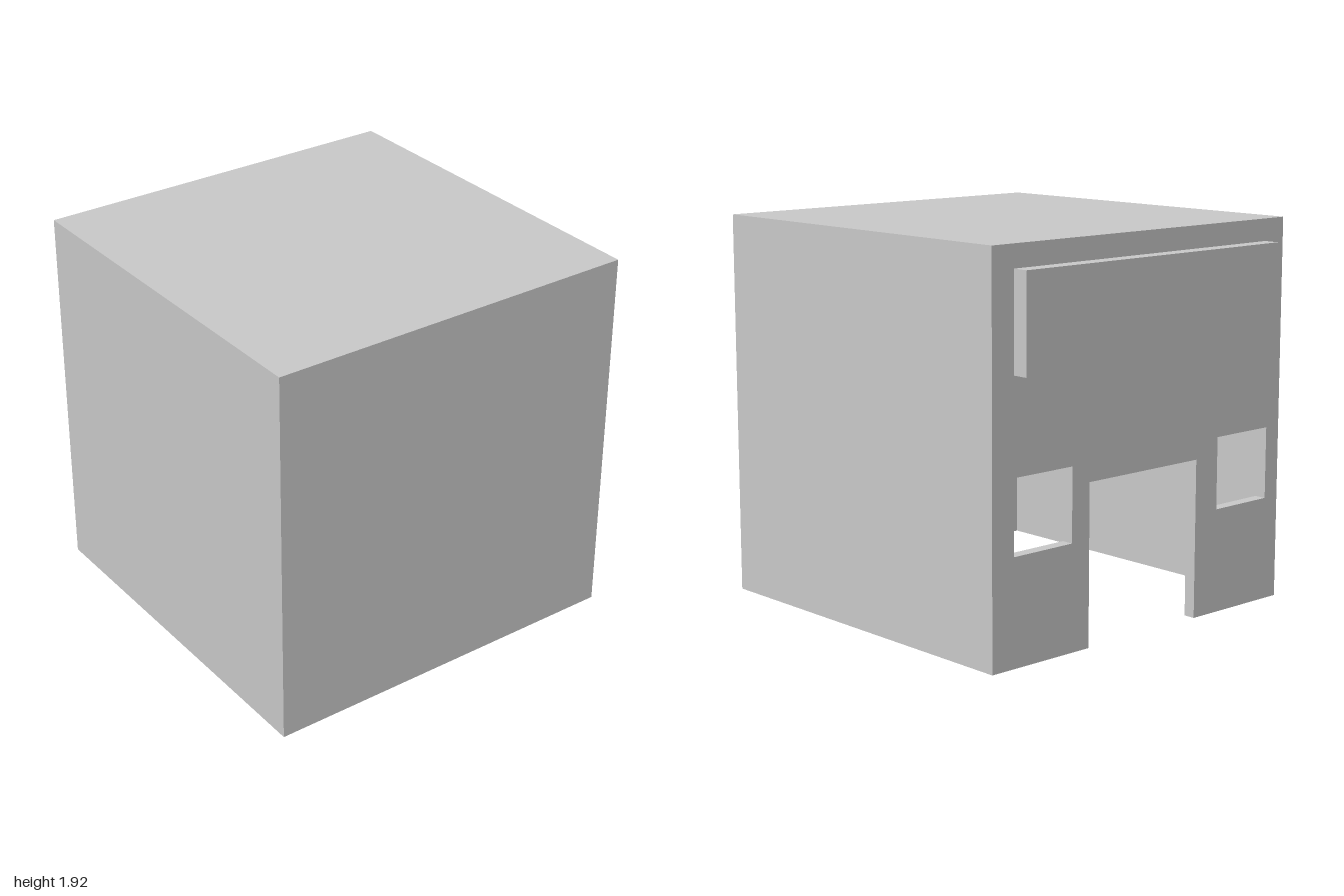
import * as THREE from 'three';

const T = 0.06;                 // wall thickness
const H = 1.92, Z = 0.96;       // height and half depth
const X0 = -0.92, X1 = 1;       // shop wall and opposite wall

const poly = (Type, pts) => new Type(pts.map(([a, b]) => new THREE.Vector2(a, b)));
const rect = (a0, b0, a1, b1) => [[a0, b0], [a1, b0], [a1, b1], [a0, b1]];

export function createModel() {
  const group = new THREE.Group();
  const material = new THREE.MeshStandardMaterial({ color: 0xcccccc, flatShading: true });
  const add = (name, geometry) => {
    const mesh = new THREE.Mesh(geometry, material);
    mesh.name = name;
    group.add(mesh);
    return mesh;
  };
  const extrude = (shape, depth) => new THREE.ExtrudeGeometry(shape, { depth, bevelEnabled: false });

  // Three plain walls: a U-shaped plan extruded upwards
  const plan = poly(THREE.Shape, [
    [X0 + T, -Z], [X1, -Z], [X1, Z], [X0 + T, Z],
    [X0 + T, Z - T], [X1 - T, Z - T], [X1 - T, -Z + T], [X0 + T, -Z + T],
  ]);
  add('plainWalls', extrude(plan, H - T).rotateX(-Math.PI / 2));

  // Shop wall with a doorway and two windows, drawn in z and y
  const doorSide = 0.36, doorTop = 0.79;
  const facade = poly(THREE.Shape, [
    [-Z, 0], [-doorSide, 0], [-doorSide, doorTop], [doorSide, doorTop],
    [doorSide, 0], [Z, 0], [Z, H - T], [-Z, H - T],
  ]);
  for (const z of [-0.83, 0.51]) {
    facade.holes.push(poly(THREE.Path, rect(z, 0.52, z + 0.36, 0.88)));
  }
  add('shopWall', extrude(facade, T).rotateY(-Math.PI / 2).translate(X0 + T, 0, 0));

  // Flat roof
  add('roof', new THREE.BoxGeometry(X1 - X0, T, 2 * Z)).position.set((X0 + X1) / 2, H - T / 2, 0);

  // Blank sign board over the doorway
  add('signBoard', new THREE.BoxGeometry(0.08, 0.47, 1.66)).position.set(-0.96, 1.575, 0);

  return group;
}
